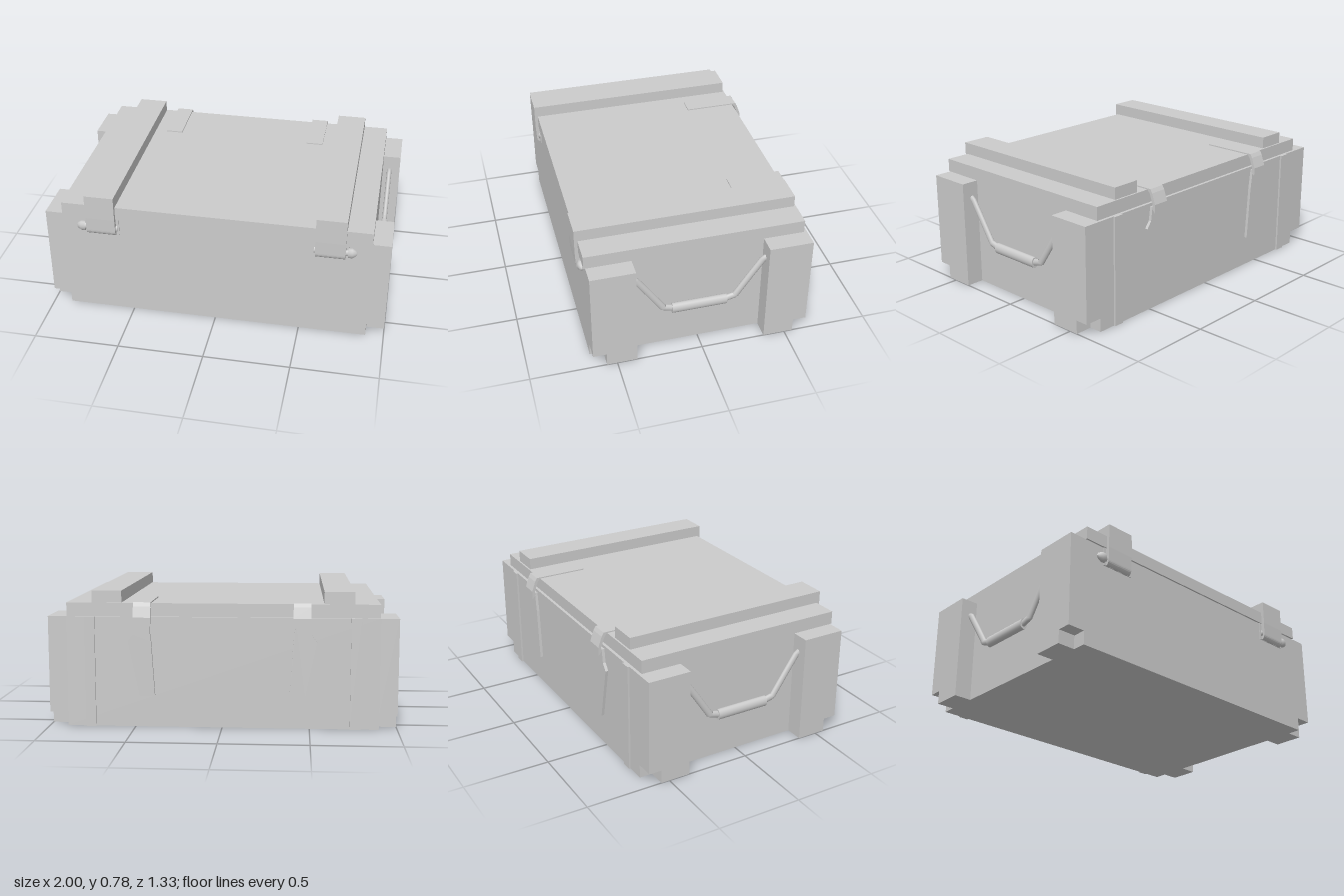
import * as THREE from 'three';

export function createModel() {
  const model = new THREE.Group();
  const mat = new THREE.MeshStandardMaterial({ color: 0xcccccc });

  function add(name, geometry, parent = model) {
    const mesh = new THREE.Mesh(geometry, mat);
    mesh.name = name;
    parent.add(mesh);
    return mesh;
  }

  // Box given by its minimum and maximum corners
  function box(name, [x0, y0, z0], [x1, y1, z1], parent) {
    const g = new THREE.BoxGeometry(x1 - x0, y1 - y0, z1 - z0);
    g.translate((x0 + x1) / 2, (y0 + y1) / 2, (z0 + z1) / 2);
    return add(name, g, parent);
  }

  // Profile of [z, y] points, extruded along x from x0 to x1
  function sideProfile(name, points, x0, x1, parent) {
    const shape = new THREE.Shape(points.map(([z, y]) => new THREE.Vector2(-z, y)));
    const g = new THREE.ExtrudeGeometry(shape, { depth: x1 - x0, bevelEnabled: false });
    g.rotateY(Math.PI / 2);
    g.translate(x0, 0, 0);
    return add(name, g, parent);
  }

  // Case and lid
  box('caseBody', [-0.895, 0, -0.627], [0.895, 0.638, 0.638]);
  box('lid', [-0.895, 0.638, -0.61], [0.895, 0.715, 0.648]);

  for (const s of [-1, 1]) {
    const range = (a, b) => (s > 0 ? [a, b] : [-b, -a]);

    // Corner posts with the outer bottom corner cut away
    const [p0, p1] = range(0.895, 1);
    sideProfile('frontPost', [[0.383, 0], [0.56, 0], [0.56, 0.08], [0.638, 0.08],
      [0.638, 0.638], [0.383, 0.638]], p0, p1);
    sideProfile('backPost', [[-0.373, 0], [-0.55, 0], [-0.55, 0.08], [-0.627, 0.08],
      [-0.627, 0.638], [-0.373, 0.638]], p0, p1);

    // Lid batten, folding down over the front as a hinge strap
    const [b0, b1] = range(0.578, 0.75);
    const curl = [];
    for (let i = 0; i <= 6; i++) {
      const a = (i / 6) * Math.PI / 2;
      curl.push([0.638 + 0.026 * Math.cos(a), 0.56 - 0.034 * Math.sin(a)]);
    }
    sideProfile('lidBatten', [[-0.6, 0.715], [-0.6, 0.784], [0.667, 0.784], [0.667, 0.638],
      ...curl, [0.638, 0.638], [0.647, 0.638], [0.647, 0.715]], b0, b1);

    // Hinge plate and pointed pin
    const [h0, h1] = range(0.56, 0.765);
    box('hingePlate', [h0, 0.526, 0.63], [h1, 0.638, 0.643]);
    const pinProfile = [[0, 0.57], [0.02, 0.57], [0.02, 0.762], [0.031, 0.762],
      [0.031, 0.785], [0.018, 0.806], [0, 0.815]];
    const pin = add('hingePin', new THREE.LatheGeometry(
      pinProfile.map(([r, h]) => new THREE.Vector2(r, h)), 12));
    pin.rotation.z = -s * Math.PI / 2;
    pin.scale.z = 0.75;
    pin.position.set(0, 0.57, 0.64);

    // Vertical strip on the back
    const [v0, v1] = range(0.73, 0.79);
    box('backStrip', [v0, 0, -0.638], [v1, 0.638, -0.62]);

    // Latch: strap over the lid, hooked cap and tapered lever
    const latch = new THREE.Group();
    latch.name = 'latch';
    model.add(latch);
    const [l0, l1] = range(0.405, 0.505);
    sideProfile('latchStrap', [[-0.31, 0.714], [-0.31, 0.722], [-0.632, 0.722], [-0.645, 0.7],
      [-0.667, 0.638], [-0.667, 0.588], [-0.645, 0.612], [-0.65, 0.635],
      [-0.628, 0.695], [-0.612, 0.714]], l0, l1, latch);
    const lever = new THREE.Shape([[0.42, 0.62], [0.5, 0.62], [0.51, 0.54], [0.54, 0.5],
      [0.475, 0.185], [0.385, 0.185], [0.405, 0.5]].map(([x, y]) => new THREE.Vector2(s * x, y)));
    const leverGeo = new THREE.ExtrudeGeometry(lever, { depth: 0.018, bevelEnabled: false });
    leverGeo.translate(0, 0, -0.644);
    add('latchLever', leverGeo, latch);

    // Carrying handle: bent rod with a thicker grip
    const handle = new THREE.Group();
    handle.name = 'handle';
    handle.position.set(s * 0.936, 0, 0.006);
    handle.scale.x = 0.74;
    model.add(handle);
    const half = [[0.41, 0.537], [0.37, 0.535], [0.295, 0.425], [0.212, 0.3], [0.15, 0.284]];
    const pts = [...half, ...half.map(([z, y]) => [-z, y]).reverse()]
      .map(([z, y]) => new THREE.Vector3(0, y, z));
    const path = new THREE.CurvePath();
    for (let i = 1; i < pts.length; i++) path.add(new THREE.LineCurve3(pts[i - 1], pts[i]));
    add('handleRod', new THREE.TubeGeometry(path, 90, 0.02, 12), handle);
    const grip = new THREE.CylinderGeometry(0.032, 0.032, 0.32, 20);
    grip.rotateX(Math.PI / 2);
    grip.translate(0, 0.283, 0);
    add('handleGrip', grip, handle);
  }

  return model;
}
